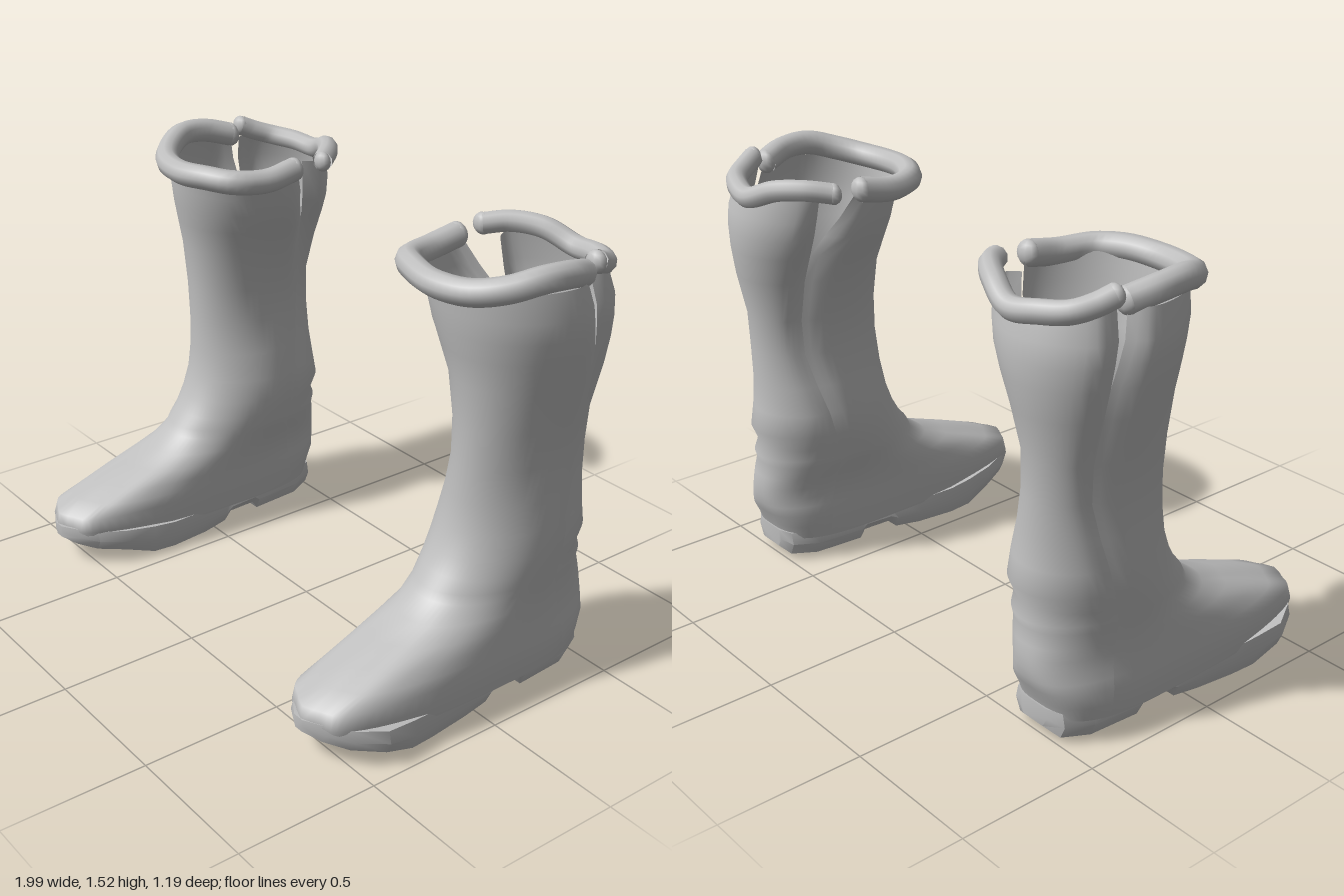
import * as THREE from 'three';
import { toCreasedNormals } from 'three/addons/utils/BufferGeometryUtils.js';

// Boot upper, horizontal rings: [y, inner x, outer x, back z, front z, roundness]
const RINGS = [
  [0.09, 0.565, 0.945, -0.5, 0.56, 3], [0.14, 0.56, 0.95, -0.515, 0.585, 3],
  [0.19, 0.56, 0.945, -0.54, 0.575, 2.9], [0.225, 0.56, 0.94, -0.55, 0.49, 2.6],
  [0.26, 0.56, 0.935, -0.555, 0.4, 2.4], [0.3, 0.555, 0.93, -0.555, 0.28, 2.3],
  [0.34, 0.55, 0.925, -0.55, 0.17, 2.2], [0.39, 0.535, 0.925, -0.54, 0.095, 2.1],
  [0.42, 0.53, 0.93, -0.55, 0.08, 2], [0.46, 0.525, 0.93, -0.53, 0.045, 2],
  [0.52, 0.518, 0.935, -0.555, 0.01, 2], [0.6, 0.525, 0.93, -0.54, -0.02, 2],
  [0.7, 0.55, 0.92, -0.53, -0.035, 2], [0.82, 0.575, 0.915, -0.53, -0.04, 2],
  [0.95, 0.57, 0.93, -0.53, -0.04, 2], [1.1, 0.535, 0.96, -0.56, -0.03, 2],
  [1.2, 0.49, 0.98, -0.575, -0.01, 2], [1.27, 0.46, 0.99, -0.58, 0.005, 2],
  [1.34, 0.44, 0.995, -0.575, 0.015, 2], [1.43, 0.425, 0.975, -0.55, 0.025, 2],
];
// Side seam: [y, z]
const SEAM = [[0.09, -0.36], [0.24, -0.345], [0.4, -0.32], [0.6, -0.36],
  [0.8, -0.41], [1, -0.42], [1.2, -0.4], [1.43, -0.36]];
// Sole sections along z: [z, inner x, outer x, bottom y, top y]
const SOLE = [
  [-0.515, 0.68, 0.81, 0.05, 0.12], [-0.49, 0.635, 0.865, 0.025, 0.115],
  [-0.4, 0.595, 0.905, 0.018, 0.11], [-0.21, 0.585, 0.915, 0.015, 0.105],
  [-0.19, 0.585, 0.915, 0.045, 0.105], [-0.08, 0.58, 0.92, 0.045, 0.1],
  [-0.05, 0.575, 0.92, 0.015, 0.1], [0.05, 0.56, 0.93, 0.006, 0.105],
  [0.2, 0.548, 0.945, 0.003, 0.11], [0.29, 0.55, 0.955, 0.008, 0.12],
  [0.4, 0.57, 0.96, 0.045, 0.13], [0.5, 0.61, 0.905, 0.065, 0.14],
  [0.56, 0.66, 0.84, 0.085, 0.15], [0.595, 0.72, 0.77, 0.105, 0.15],
];
// Rolled cuff paths: [x, y, z]
const FRONT_CUFF = [
  [0.43, 1.44, -0.27], [0.43, 1.42, -0.15], [0.47, 1.425, -0.04], [0.56, 1.43, 0.015],
  [0.68, 1.425, 0.04], [0.81, 1.43, 0.015], [0.895, 1.45, -0.05], [0.945, 1.475, -0.14],
  [0.95, 1.47, -0.24], [0.92, 1.445, -0.335]];
const BACK_CUFF = [
  [0.42, 1.45, -0.39], [0.48, 1.46, -0.46], [0.57, 1.45, -0.52], [0.68, 1.41, -0.555],
  [0.78, 1.42, -0.535], [0.86, 1.43, -0.49], [0.9, 1.45, -0.43], [0.92, 1.47, -0.385]];

function seamZ(y) {
  let i = 0;
  while (i < SEAM.length - 2 && y > SEAM[i + 1][0]) i++;
  const [a, b] = [SEAM[i], SEAM[i + 1]];
  return THREE.MathUtils.lerp(a[1], b[1], (y - a[0]) / (b[0] - a[0]));
}

// Skin equal-length rows of points with quads
function skin(rows, closed = false) {
  const n = rows[0].length, index = [];
  for (let i = 0; i < rows.length - 1; i++) {
    for (let j = 0; j < (closed ? n : n - 1); j++) {
      const k = (j + 1) % n, a = i * n + j, b = i * n + k;
      index.push(a, b, b + n, a, b + n, a + n);
    }
  }
  if (closed) {
    const end = (rows.length - 1) * n;
    for (let j = 1; j < n - 1; j++) index.push(0, j + 1, j, end, end + j, end + j + 1);
  }
  const g = new THREE.BufferGeometry();
  g.setAttribute('position', new THREE.Float32BufferAttribute(rows.flat(2), 3));
  g.setIndex(index);
  g.computeVertexNormals();
  return g;
}

// Front or back panel of the upper, ending at the side seams that open into slits
function panel(front, steps) {
  const rows = RINGS.map(([y, x0, x1, zb, zf, n]) => {
    const zc = Math.min((zb + zf) / 2, -0.12), cx = (x0 + x1) / 2, hw = (x1 - x0) / 2;
    const zs = seamZ(y), open = Math.max(0, (y - 1.2) / 0.23);
    const high = THREE.MathUtils.smoothstep(y, 0.9, 1.43);
    const low = THREE.MathUtils.smoothstep(y, 0.24, 0.6);
    const angle = (z) => {
      const t = (z - zc) / (z > zc ? zf - zc : zc - zb);
      return Math.acos(Math.sign(t) * Math.abs(t) ** (n / 2));
    };
    const outer = angle(zs + open * (front ? 0.018 : -0.01));
    const inner = angle(zs + open * (front ? 0.07 : -0.015));
    const from = front ? -inner : outer, to = front ? outer : 2 * Math.PI - inner;
    return Array.from({ length: steps + 1 }, (_, i) => {
      const a = THREE.MathUtils.lerp(from, to, i / steps), s = Math.sin(a), c = Math.cos(a);
      let x = cx + hw * Math.sign(s) * Math.abs(s) ** (2 / n);
      let z = zc + (c > 0 ? zf - zc : zc - zb) * Math.sign(c) * Math.abs(c) ** (2 / n);
      // fold pulled in along the seam
      const fold = Math.exp(-(((z - zs) / 0.045) ** 2));
      x -= Math.sign(s) * fold * (0.012 * low + (s < 0 ? 0.07 : 0.03) * high);
      // toe creases
      if (z > 0.25) z += 0.01 * Math.cos((x - cx) * 48);
      return [x, y, z];
    });
  });
  return skin(rows);
}

function sole() {
  const rows = SOLE.map(([z, a, b, y0, y1]) => {
    const e = Math.min(0.02, (b - a) / 5), m = (y0 + y1) / 2;
    return [[a + e, y0, z], [b - e, y0, z], [b, m, z], [b - e / 2, y1, z],
      [a + e / 2, y1, z], [a, m, z]];
  });
  return toCreasedNormals(skin(rows, true), 0.7);
}

export function createModel() {
  const leather = new THREE.MeshStandardMaterial({ color: 0xbfbfbf, side: THREE.DoubleSide });
  leather.name = 'grey leather';

  const parts = [['frontPanel', panel(true, 44)], ['backPanel', panel(false, 24)], ['sole', sole()]];
  const addCuff = (name, points, radius) => {
    const pts = points.map((p) => new THREE.Vector3(...p));
    parts.push([name, new THREE.TubeGeometry(new THREE.CatmullRomCurve3(pts), 40, radius, 10)]);
    // rounded cuff ends
    for (const p of [pts[0], pts[pts.length - 1]]) {
      parts.push([name + 'End', new THREE.SphereGeometry(radius, 10, 8).scale(1, 1, 0.7).translate(p.x, p.y, p.z)]);
    }
  };
  addCuff('frontCuff', FRONT_CUFF, 0.043);
  addCuff('backCuff', BACK_CUFF, 0.037);

  const model = new THREE.Group();
  model.name = 'boots';
  for (const side of [1, -1]) {
    const boot = new THREE.Group();
    boot.name = side > 0 ? 'leftBoot' : 'rightBoot';
    for (const [name, geometry] of parts) {
      const mesh = new THREE.Mesh(geometry, leather);
      mesh.name = name;
      boot.add(mesh);
    }
    boot.scale.x = side;
    model.add(boot);
  }
  return model;
}
